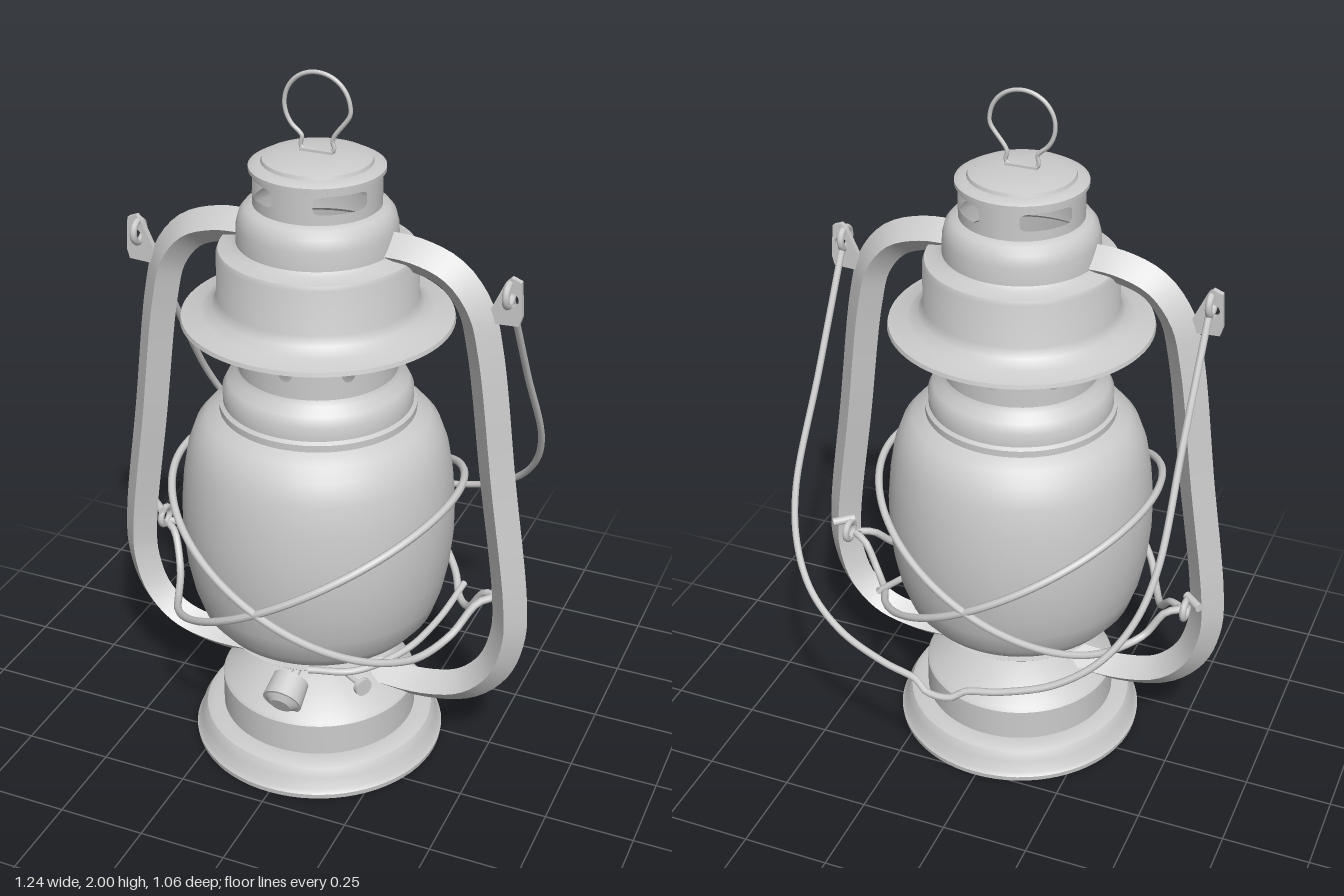
import * as THREE from 'three';
import { toCreasedNormals } from 'three/addons/utils/BufferGeometryUtils.js';

const AXIS_Z = 0.095; // the body axis sits forward, the bail hangs behind
const material = new THREE.MeshStandardMaterial({ color: 0xcccccc, side: THREE.DoubleSide });
const V = (x, y, z) => new THREE.Vector3(x, y, z);

function part(parent, name, geometry) {
  const mesh = new THREE.Mesh(geometry, material);
  mesh.name = name;
  parent.add(mesh);
  return mesh;
}

function turned(parent, name, profile, crease = 0.6) {
  const pts = profile.map(([r, y]) => new THREE.Vector2(r, y));
  return part(parent, name, toCreasedNormals(new THREE.LatheGeometry(pts, 72), crease));
}

function wire(parent, name, points, radius = 0.011, closed = false, segments = 80) {
  const curve = new THREE.CatmullRomCurve3(points.map(p => V(...p)), closed, 'centripetal');
  return part(parent, name, new THREE.TubeGeometry(curve, segments, radius, 8, closed));
}

function rod(parent, name, a, b, r0, r1 = r0) {
  const from = V(...a), dir = V(...b).sub(from);
  const mesh = part(parent, name, new THREE.CylinderGeometry(r1, r0, dir.length(), 24));
  mesh.position.copy(from).addScaledVector(dir, 0.5);
  mesh.quaternion.setFromUnitVectors(V(0, 1, 0), dir.normalize());
  return mesh;
}

// Cylindrical band with evenly spaced openings; power < 1 squares the openings off
function perforatedBand(parent, name, { r, y0, y1, count, start, halfAngle, halfHeight, power, holeY }) {
  const pos = [], nor = [], index = [], steps = 40, rows = 4;
  const soft = c => Math.sign(c) * Math.pow(Math.abs(c), power);
  const half = Math.PI / count, mid = (y0 + y1) / 2, tall = (y1 - y0) / 2;
  for (let k = 0; k < count; k++) {
    const base = pos.length / 3;
    for (let i = 0; i <= steps; i++) {
      const t = i / steps * Math.PI * 2, c = Math.cos(t), s = Math.sin(t);
      const m = Math.max(Math.abs(c), Math.abs(s));
      for (let j = 0; j <= rows; j++) {
        const v = j / rows;
        const a = start + k * 2 * half + (1 - v) * soft(c) * halfAngle + v * c / m * half;
        const y = (1 - v) * (holeY + soft(s) * halfHeight) + v * (mid + s / m * tall);
        pos.push(r * Math.sin(a), y, r * Math.cos(a));
        nor.push(Math.sin(a), 0, Math.cos(a));
        if (i < steps && j < rows) {
          const p = base + i * (rows + 1) + j, q = p + rows + 1;
          index.push(p, p + 1, q, q, p + 1, q + 1);
        }
      }
    }
  }
  const g = new THREE.BufferGeometry();
  g.setAttribute('position', new THREE.Float32BufferAttribute(pos, 3));
  g.setAttribute('normal', new THREE.Float32BufferAttribute(nor, 3));
  g.setIndex(index);
  return part(parent, name, g);
}

// Side tube: diamond section swept along a curve in the xy plane
function diamondSweep(points, depth, width) {
  const curve = new THREE.CatmullRomCurve3(points.map(([x, y]) => V(x, y, 0)), false, 'centripetal');
  const n = 70, pos = [], index = [];
  const section = [[depth, 0], [0, width], [-depth, 0], [0, -width]];
  for (let e = 0; e < 4; e++) {
    for (let i = 0; i <= n; i++) {
      const p = curve.getPointAt(i / n), t = curve.getTangentAt(i / n);
      for (const [d, w] of [section[e], section[(e + 1) % 4]]) pos.push(p.x - t.y * d, p.y + t.x * d, w);
      if (i < n) {
        const a = (e * (n + 1) + i) * 2;
        index.push(a, a + 1, a + 2, a + 2, a + 1, a + 3);
      }
    }
  }
  const g = new THREE.BufferGeometry();
  g.setAttribute('position', new THREE.Float32BufferAttribute(pos, 3));
  // the section runs outer, front, inner, back while the path runs downward
  g.setIndex(index);
  g.computeVertexNormals();
  return g;
}

export function createModel() {
  const lantern = new THREE.Group();
  lantern.name = 'lantern';
  const body = new THREE.Group();
  body.name = 'body';
  body.position.z = AXIS_Z;
  lantern.add(body);

  // Fuel tank and burner
  turned(body, 'fuelTank', [[0, 0.005], [0.35, 0.005], [0.36, 0], [0.362, 0.015], [0.352, 0.025], [0.345, 0.06],
    [0.33, 0.085], [0.31, 0.094], [0.28, 0.095], [0.28, 0.19], [0.272, 0.2], [0.14, 0.272], [0.13, 0.275],
    [0.13, 0.32], [0.122, 0.332], [0.1, 0.335]]);
  turned(body, 'burnerPlate', [[0.1, 0.33], [0.13, 0.335], [0.15, 0.35], [0.255, 0.362], [0.262, 0.368],
    [0.21, 0.374], [0.2, 0.385], [0.21, 0.395]]);

  // Glass globe
  turned(body, 'globe', [[0.2, 0.385], [0.25, 0.392], [0.3, 0.415], [0.332, 0.455], [0.354, 0.52], [0.37, 0.6],
    [0.379, 0.69], [0.379, 0.78], [0.371, 0.87], [0.357, 0.95], [0.335, 1.01], [0.305, 1.045], [0.262, 1.068]], 1);
  turned(body, 'globeCollar', [[0.255, 1.06], [0.268, 1.066], [0.268, 1.085], [0.258, 1.092], [0.258, 1.13],
    [0.245, 1.155], [0.222, 1.175], [0.215, 1.19]]);

  // Chimney with air holes, hood and crown
  perforatedBand(body, 'chimney', { r: 0.215, y0: 1.185, y1: 1.4, count: 8, start: 0,
    halfAngle: 0.085, halfHeight: 0.02, power: 1, holeY: 1.255 });
  turned(body, 'hood', [[0.215, 1.385], [0.25, 1.375], [0.3, 1.345], [0.355, 1.33], [0.365, 1.334], [0.362, 1.345],
    [0.31, 1.357], [0.28, 1.375], [0.267, 1.4], [0.265, 1.52], [0.26, 1.532], [0.225, 1.54], [0.213, 1.55],
    [0.211, 1.6], [0.203, 1.63], [0.188, 1.648], [0.168, 1.655], [0.168, 1.665]]);
  perforatedBand(body, 'crownVents', { r: 0.168, y0: 1.66, y1: 1.755, count: 4, start: Math.PI / 4,
    halfAngle: 0.45, halfHeight: 0.024, power: 0.4, holeY: 1.706 });
  turned(body, 'crownLid', [[0.16, 1.738], [0.177, 1.745], [0.177, 1.756], [0.165, 1.763], [0.145, 1.766],
    [0.142, 1.775], [0.11, 1.784], [0.06, 1.789], [0, 1.79]]);

  // Finger ring on the lid
  const ring = [[-0.03, 1.785, 0], [-0.046, 1.8, 0], [-0.042, 1.825, 0]];
  for (let i = 0; i <= 14; i++) {
    const a = -2.15 - i / 14 * (Math.PI * 2 - 2.0);
    ring.push([0.09 * Math.cos(a), 1.908 + 0.088 * Math.sin(a), 0]);
  }
  ring.push([0.042, 1.825, 0], [0.046, 1.8, 0], [0.03, 1.785, 0]);
  wire(body, 'lidRing', ring, 0.006, false, 90);
  part(body, 'lidRingFoot', new THREE.BoxGeometry(0.09, 0.012, 0.025)).position.y = 1.79;

  // Wick knob, filler key
  rod(body, 'knobStem', [0, 0.31, 0.1], [0, 0.265, 0.22], 0.012);
  rod(body, 'wickKnob', [0, 0.282, 0.2], [0, 0.25, 0.265], 0.052, 0.057);
  rod(body, 'wickKnobCap', [0, 0.25, 0.265], [0, 0.244, 0.277], 0.05, 0.03);
  rod(body, 'keyStem', [0.06, 0.29, 0.08], [0.2, 0.29, 0.16], 0.007);
  rod(body, 'keyDisc', [0.196, 0.29, 0.157], [0.208, 0.29, 0.165], 0.026);

  // Side tubes, bail lugs and guard hooks, one set per side
  const tubePath = [[0.17, 1.555], [0.275, 1.55], [0.37, 1.515], [0.435, 1.435], [0.466, 1.32], [0.516, 0.95],
    [0.567, 0.575], [0.567, 0.46], [0.53, 0.345], [0.45, 0.265], [0.33, 0.232], [0.15, 0.235]];
  const lugShape = new THREE.Shape([[0.46, 1.4], [0.555, 1.405], [0.562, 1.43], [0.556, 1.525], [0.53, 1.535],
    [0.515, 1.52]].map(([x, y]) => new THREE.Vector2(x, y)));
  lugShape.holes.push(new THREE.Path().absarc(0.533, 1.475, 0.018, 0, Math.PI * 2, true));
  for (const s of [1, -1]) {
    const side = new THREE.Group();
    side.name = s > 0 ? 'leftSide' : 'rightSide';
    body.add(side);
    const mirrored = pts => pts.map(([x, y]) => [s * x, y]);
    // the right tube runs upward so its faces still point outward
    const path = s > 0 ? tubePath : mirrored(tubePath).reverse();
    part(side, 'sideTube', diamondSweep(path, 0.05, 0.053));
    const lug = part(side, 'bailLug', new THREE.ExtrudeGeometry(lugShape, { depth: 0.016, bevelEnabled: false }));
    lug.position.z = -0.008;
    if (s < 0) { lug.rotation.y = Math.PI; lug.position.z = 0.008; }
    const eye = part(side, 'bailEye', new THREE.TorusGeometry(0.03, 0.01, 8, 24));
    eye.position.set(s * 0.525, 1.488, 0.005);
    eye.rotation.y = Math.PI / 2;
    const hook = part(side, 'guardHookEye', new THREE.TorusGeometry(0.027, 0.01, 8, 24));
    hook.position.set(s * 0.525, 0.55, -0.065);
    hook.rotation.y = Math.PI / 2;
    rod(side, 'guardHookPin', [s * 0.52, 0.58, -0.04], [s * 0.57, 0.58, -0.085], 0.012);

    // Guard wire: tilted loop around the globe, its low end pulled out to the hook
    const loop = [];
    for (let i = 0; i <= 24; i++) {
      const a = 0.38 + i / 24 * (Math.PI * 2 - 0.76);
      loop.push([s * 0.4 * Math.cos(a), 0.645 - 0.222 * Math.cos(a), 0.425 * Math.sin(a)]);
    }
    loop.push([s * 0.42, 0.455, -0.1], [s * 0.47, 0.53, -0.075], [s * 0.51, 0.54, -0.055],
      [s * 0.47, 0.53, -0.02], [s * 0.42, 0.455, 0.05]);
    wire(side, 'guardWire', loop, 0.011, true, 120);
  }
  // Lower guard strand under the globe
  wire(body, 'lowerGuardStrand', [[0.37, 0.46, -0.2], [0.345, 0.42, -0.05], [0.3, 0.395, 0.09],
    [0.2, 0.383, 0.22], [0.08, 0.38, 0.26]], 0.01, false, 40);

  // Carrying bail, resting backward
  const half = [[0.525, 1.46, 0.075], [0.525, 1.17, -0.1], [0.525, 0.89, -0.275], [0.49, 0.76, -0.352],
    [0.42, 0.66, -0.415], [0.31, 0.585, -0.46], [0.17, 0.54, -0.488], [0.07, 0.52, -0.5], [0.04, 0.5, -0.512]];
  const other = half.map(([x, y, z]) => [-x, y, z]).reverse();
  wire(lantern, 'bail', [...half, [0, 0.495, -0.516], ...other], 0.01, false, 140);

  return lantern;
}
